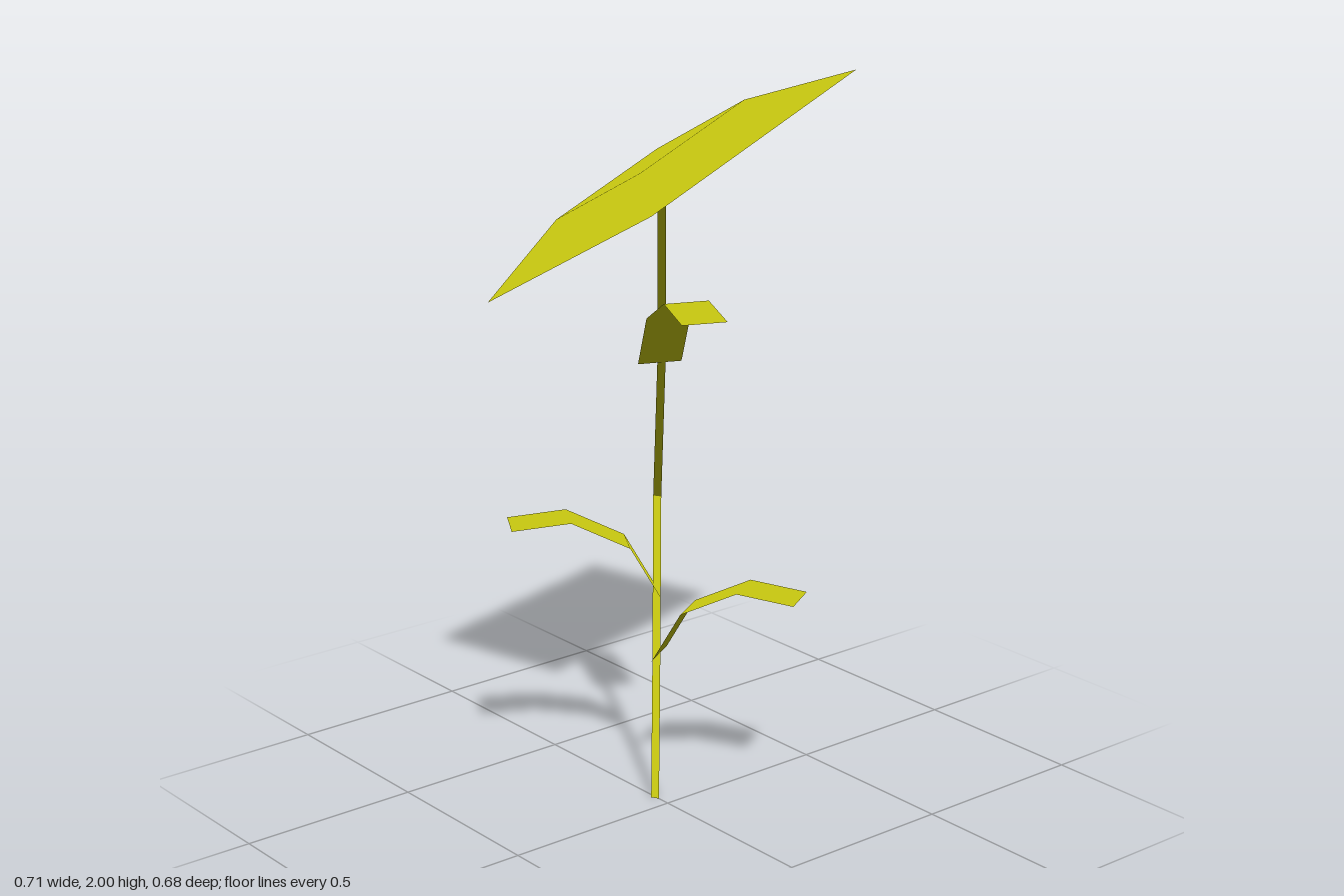
import * as THREE from 'three';

const V = (x, y, z) => new THREE.Vector3(x, y, z);

// Builds a surface by joining successive rows of points with quads.
function loft(name, rows, closed, cap, material) {
  const pos = [];
  const tri = (...pts) => pts.forEach((p) => pos.push(p.x, p.y, p.z));
  for (let i = 0; i < rows.length - 1; i++) {
    const a = rows[i], b = rows[i + 1], n = a.length;
    for (let j = 0; j < (closed ? n : n - 1); j++) {
      const k = (j + 1) % n;
      tri(a[j], a[k], b[k]);
      tri(a[j], b[k], b[j]);
    }
  }
  if (cap) {
    const r = rows[rows.length - 1];
    for (let j = 1; j < r.length - 1; j++) tri(r[0], r[j], r[j + 1]);
  }
  const geo = new THREE.BufferGeometry();
  geo.setAttribute('position', new THREE.Float32BufferAttribute(pos, 3));
  // Foliage shading: all normals point up, so the plant is evenly lit
  const up = pos.map((_, i) => (i % 3 === 1 ? 1 : 0));
  geo.setAttribute('normal', new THREE.Float32BufferAttribute(up, 3));
  const mesh = new THREE.Mesh(geo, material);
  mesh.name = name;
  return mesh;
}

export function createModel() {
  const group = new THREE.Group();
  group.name = 'flower';
  const yellow = new THREE.MeshStandardMaterial({ color: 0xc8c810, side: THREE.DoubleSide });
  yellow.name = 'plantYellow';

  // Stem: thin three-sided tube with a gentle bend
  const path = [
    V(-0.05, 0, 0), V(-0.068, 0.42, -0.02), V(-0.07, 0.85, -0.025),
    V(-0.035, 1.25, -0.012), V(-0.02, 1.7, 0),
  ];
  const stemRows = path.map((p) => [0, 1, 2].map((i) => {
    const t = -(i * 2 * Math.PI) / 3;
    return V(p.x + 0.013 * Math.cos(t), p.y, p.z + 0.013 * Math.sin(t));
  }));
  group.add(loft('stem', stemRows, true, true, yellow));

  // Leaves: the same arched ribbon turned in three directions
  const arch = [[0, 0], [0.08, 0.142], [0.235, 0.22], [0.39, 0.206]];
  const leaf = (name, base, degrees) => {
    const t = THREE.MathUtils.degToRad(degrees);
    const dx = Math.cos(t), dz = Math.sin(t), w = 0.058;
    const rows = arch.map(([r, h]) => [1, -1].map((s) =>
      V(base.x + dx * r + s * w * dz, base.y + h, base.z + dz * r - s * w * dx)));
    group.add(loft(name, rows, false, false, yellow));
  };
  leaf('lowerLeaf', V(-0.06, 0.408, -0.02), -30.5);
  leaf('middleLeaf', V(-0.08, 0.58, -0.03), 120.5);
  leaf('upperLeaf', V(-0.032, 1.225, 0), 23);

  // Flower head: tilted square rising to a smaller raised square, open below
  const centre = V(0, 1.685, 0);
  const rim = [
    V(-0.355, -0.045, -0.341), V(-0.35, -0.315, 0.31),
    V(0.355, 0.045, 0.341), V(0.35, 0.315, -0.31),
  ];
  const lift = V(-0.438, 0.829, 0.347).multiplyScalar(0.085);
  const outer = rim.map((p) => p.clone().add(centre));
  const inner = rim.map((p) => p.clone().multiplyScalar(0.51).add(centre).add(lift));
  group.add(loft('flowerHead', [outer, inner], true, true, yellow));

  return group;
}
